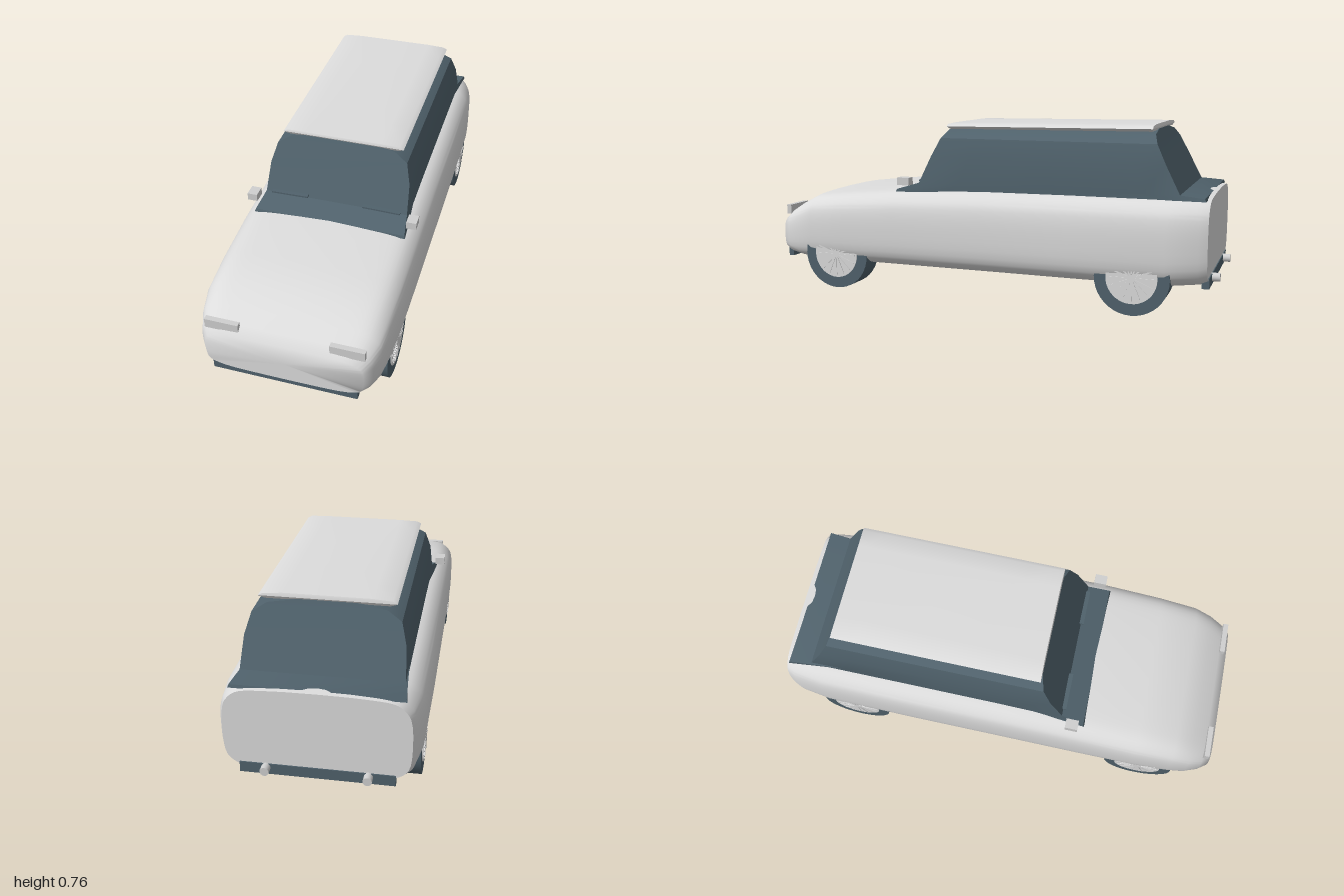
import * as THREE from 'three';
import { toCreasedNormals } from 'three/addons/utils/BufferGeometryUtils.js';

const paint = new THREE.MeshStandardMaterial({ name: 'silver paint', color: 0xdcdcdc });
const dark = new THREE.MeshStandardMaterial({ name: 'dark slate', color: 0x50626c });
const trim = new THREE.MeshStandardMaterial({ name: 'light grey trim', color: 0xd0d0d0 });

// Skin a stack of equal-length rings, closed at both ends.
function loft(rings, crease) {
  const n = rings[0].length;
  const index = [];
  for (let i = 0; i < rings.length - 1; i++) {
    for (let j = 0; j < n; j++) {
      const k = (j + 1) % n;
      const a = i * n + j, b = i * n + k, c = b + n, d = a + n;
      index.push(a, b, c, a, c, d);
    }
  }
  const points = rings.flat();
  const last = (rings.length - 1) * n;
  for (const [ring, base, flip] of [[rings[0], 0, true], [rings.at(-1), last, false]]) {
    const centre = new THREE.Vector3();
    ring.forEach((p) => centre.addScaledVector(p, 1 / n));
    const m = points.push(centre) - 1;
    for (let j = 0; j < n; j++) {
      const a = base + j, b = base + (j + 1) % n;
      index.push(m, flip ? b : a, flip ? a : b);
    }
  }
  const g = new THREE.BufferGeometry().setFromPoints(points);
  g.setIndex(index);
  return toCreasedNormals(g, crease);
}

// Body cross-section at z, scaled between the bottom and top heights.
const SECTION = [[0.42, 0], [0.7, 0.02], [0.87, 0.075], [0.965, 0.17], [1, 0.5],
  [0.98, 0.78], [0.94, 0.87], [0.84, 0.96], [0.6, 1]];
function bodyRing([z, half, y0, y1]) {
  const right = SECTION.map(([x, y]) => new THREE.Vector3(x * half, y0 + y * (y1 - y0), z));
  const left = right.map((p) => new THREE.Vector3(-p.x, p.y, z)).reverse();
  return new THREE.CatmullRomCurve3([...right, ...left], true).getPoints(72).slice(0, -1);
}

// Horizontal ring: front and rear heights, half widths at ends and middle, front and rear z.
function deckRing([yF, yB, end, mid, zF, zB]) {
  const y = (t) => yB + (yF - yB) * t;
  const side = [[end, 1], [mid, 0.83], [mid, 0.5], [mid, 0.13], [end, 0]]
    .map(([x, t]) => new THREE.Vector3(x, y(t), zB + (zF - zB) * t));
  return [...side, ...side.map((p) => new THREE.Vector3(-p.x, p.y, p.z)).reverse()];
}

export function createModel() {
  const car = new THREE.Group();
  car.name = 'car';
  const add = (name, geometry, material, x = 0, y = 0, z = 0, parent = car) => {
    const mesh = new THREE.Mesh(geometry, material);
    mesh.name = name;
    mesh.position.set(x, y, z);
    parent.add(mesh);
    return mesh;
  };
  const box = (w, h, d) => new THREE.BoxGeometry(w, h, d);

  // Body shell: z, half width, bottom, top
  add('body', loft([
    [-0.965, 0.36, 0.13, 0.478],
    [-0.93, 0.375, 0.118, 0.48],
    [-0.8, 0.393, 0.103, 0.48],
    [-0.4, 0.397, 0.102, 0.478],
    [0.0, 0.397, 0.102, 0.474],
    [0.4, 0.397, 0.102, 0.458],
    [0.65, 0.395, 0.102, 0.436],
    [0.82, 0.387, 0.105, 0.416],
    [0.9, 0.375, 0.11, 0.375],
    [0.96, 0.352, 0.12, 0.34],
    [0.998, 0.325, 0.135, 0.312],
  ].map(bodyRing), 1.0), paint);

  // Glasshouse, flared at the foot of both screens
  add('cabin', loft([
    [0.45, 0.472, 0.334, 0.315, 0.405, -0.95],
    [0.462, 0.484, 0.33, 0.315, 0.4, -0.945],
    [0.492, 0.492, 0.316, 0.314, 0.3, -0.845],
    [0.61, 0.61, 0.309, 0.309, 0.243, -0.785],
    [0.69, 0.69, 0.287, 0.287, 0.205, -0.745],
    [0.725, 0.725, 0.23, 0.23, 0.188, -0.728],
    [0.742, 0.742, 0.115, 0.115, 0.18, -0.72],
  ].map(deckRing), 0.6), dark);

  // Roof panel with bevelled sides
  add('roof', loft([
    [0.728, 0.736, 0.24, 0.24, 0.18, -0.715],
    [0.74, 0.748, 0.266, 0.266, 0.187, -0.722],
    [0.75, 0.758, 0.248, 0.248, 0.185, -0.72],
    [0.753, 0.763, 0.17, 0.17, 0.183, -0.718],
  ].map(deckRing), 0.5), paint);

  // Bumpers
  add('frontBumper', box(0.6, 0.052, 0.025), dark, 0, 0.138, 0.983);
  add('rearBumper', box(0.6, 0.045, 0.03), dark, 0, 0.138, -0.954);

  const tyre = new THREE.CylinderGeometry(0.155, 0.155, 0.106, 40).rotateZ(Math.PI / 2);
  const hub = new THREE.CylinderGeometry(0.106, 0.106, 0.112, 40).rotateZ(Math.PI / 2);
  const exhaust = new THREE.CylinderGeometry(0.018, 0.018, 0.09, 16).rotateX(Math.PI / 2);

  for (const [side, s] of [['left', 1], ['right', -1]]) {
    // Wheels with raised spokes on both hub faces
    for (const [end, z] of [['Front', 0.69], ['Rear', -0.67]]) {
      const wheel = new THREE.Group();
      wheel.name = side + end + 'Wheel';
      wheel.position.set(s * 0.327, 0.155, z);
      car.add(wheel);
      add('tyre', tyre, dark, 0, 0, 0, wheel);
      add('hub', hub, paint, 0, 0, 0, wheel);
      for (let i = 0; i < 8; i++) {
        add('spoke', box(0.118, 0.19, 0.006), paint, 0, 0, 0, wheel).rotation.x = i * Math.PI / 8;
      }
    }
    // Lamps, mirrors, wipers and exhausts
    add(side + 'Headlight', box(0.14, 0.042, 0.022), trim, s * 0.255, 0.339, 0.971);
    add(side + 'Mirror', box(0.043, 0.033, 0.055), trim, s * 0.352, 0.502, 0.35);
    add(side + 'Wiper', box(0.165, 0.007, 0.03), dark, s * 0.205, 0.5, 0.298).rotation.z = -s * 0.02;
    add(side + 'Exhaust', exhaust, trim, s * 0.197, 0.145, -0.955);
  }
  return car;
}
